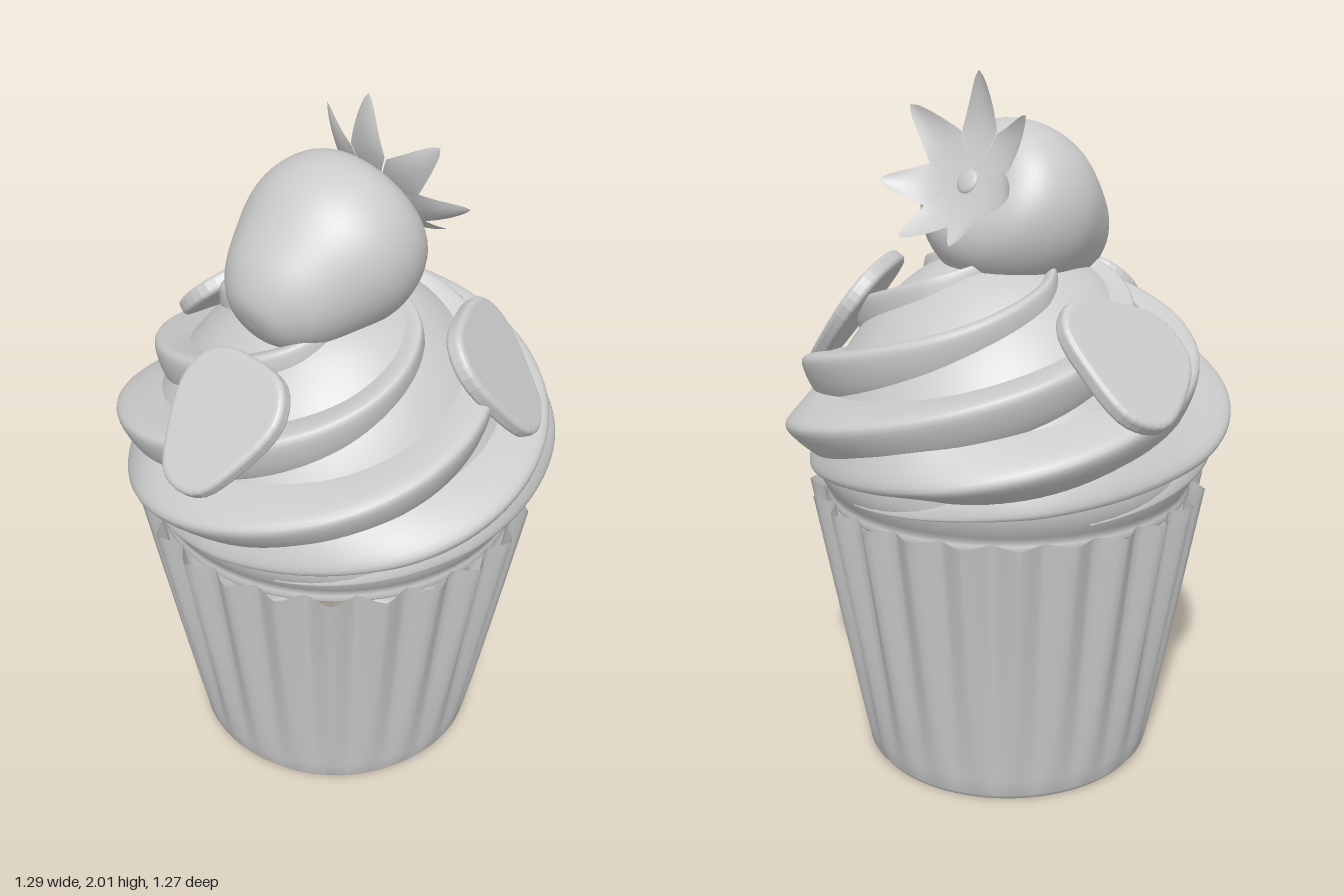
import * as THREE from 'three';
import { mergeVertices } from 'three/addons/utils/BufferGeometryUtils.js';

const material = new THREE.MeshStandardMaterial({ color: 0xcccccc });
const thin = new THREE.MeshStandardMaterial({ color: 0xcccccc, side: THREE.DoubleSide });
const V2 = (list) => list.map(([x, y]) => new THREE.Vector2(x, y));

function part(name, geometry, mat = material) {
  const mesh = new THREE.Mesh(geometry, mat);
  mesh.name = name;
  return mesh;
}

// Smooth surface from a rule (u, v) -> [x, y, z], seams welded
function surface(rule, nu, nv) {
  const g = new THREE.PlaneGeometry(1, 1, nu, nv);
  const p = g.attributes.position, uv = g.attributes.uv;
  for (let i = 0; i < p.count; i++) p.setXYZ(i, ...rule(uv.getX(i), uv.getY(i)));
  g.deleteAttribute('uv');
  g.deleteAttribute('normal');
  const welded = mergeVertices(g, 1e-4);
  welded.computeVertexNormals();
  return welded;
}

// Smooth lathe through a few profile points
function turned(points, segments = 48) {
  const curve = new THREE.SplineCurve(V2(points));
  const profile = curve.getPoints(40);
  profile.forEach((q) => { q.x = Math.max(q.x, 0); });
  return new THREE.LatheGeometry(profile, segments);
}

// Pleated paper cup
function createCup() {
  const cup = new THREE.Group();
  cup.name = 'cup';
  const folds = 24;
  cup.add(part('pleatedWall', surface((u, v) => {
    const a = u * Math.PI * 2;
    const row = Math.max(0, (v * 17 - 1) / 16);
    const y = v === 0 ? 0 : 0.018 + row * 0.817;
    const base = v === 0 ? 0.412 : 0.426 + row * 0.13;
    const pleat = Math.asin(0.95 * Math.cos(folds * a)) / Math.asin(0.95);
    const r = base + 0.023 * Math.pow(row, 0.7) * pleat;
    return [r * Math.sin(a), y, r * Math.cos(a)];
  }, folds * 8, 17), thin));
  const bottom = part('cupBottom', new THREE.CircleGeometry(0.413, 96));
  bottom.rotation.x = Math.PI / 2;
  cup.add(bottom);
  return cup;
}

// Piped frosting: a domed core wrapped by rising, soft-edged strands
function createFrosting() {
  const frosting = new THREE.Group();
  frosting.name = 'frosting';
  frosting.add(part('frostingCore', turned([
    [0, 0.79], [0.48, 0.795], [0.525, 0.84], [0.555, 0.9], [0.56, 0.96], [0.55, 1.04],
    [0.51, 1.14], [0.43, 1.27], [0.33, 1.38], [0.2, 1.47], [0, 1.5],
  ], 64)));

  // Outer edge of a strand as (radius, height)
  const path = new THREE.SplineCurve(V2([
    [0.55, 0.88], [0.6, 0.96], [0.635, 1.06], [0.6, 1.17],
    [0.515, 1.28], [0.4, 1.38], [0.26, 1.47], [0.1, 1.52],
  ]));
  const strands = 5;
  for (let i = 0; i < strands; i++) {
    const start = -0.75 + (i * Math.PI * 2) / strands;
    frosting.add(part('frostingStrand', surface((u, v) => {
      const c = path.getPoint(u), t = path.getTangent(u);
      const size = (0.03 + 0.97 * THREE.MathUtils.smoothstep(u, 0, 0.24)) * (1 - 0.4 * u * u);
      const f = (v * 2 - 1) * Math.PI;
      const out = 0.12 * size * (Math.cos(f) - 1);
      const along = size * (0.1 * Math.sin(f) * (1 - 0.5 * Math.cos(f)) - 0.025 * (1 + Math.cos(f)));
      const r = c.x + t.y * out + t.x * along;
      const y = c.y - t.x * out + t.y * along;
      const a = start + Math.pow(u, 0.9) * Math.PI * 1.8;
      return [r * Math.sin(a), y, r * Math.cos(a)];
    }, 100, 28)));
  }
  return frosting;
}

// Rounded fruit slice, placed by its centre, face normal and tip direction
function createSlice(centre, normal, tip, wide = 1) {
  const outline = new THREE.CatmullRomCurve3([
    [-0.165, 0.08], [-0.12, 0.16], [0, 0.18], [0.12, 0.16], [0.165, 0.08],
    [0.12, -0.07], [0.05, -0.17], [-0.05, -0.17], [-0.12, -0.07],
  ].map(([x, y]) => new THREE.Vector3(x * wide, y, 0)), true);
  const shape = new THREE.Shape(outline.getPoints(40).slice(0, -1).reverse()
    .map((q) => new THREE.Vector2(q.x, q.y)));
  const g = new THREE.ExtrudeGeometry(shape, {
    depth: 0.02, bevelEnabled: true, bevelThickness: 0.015, bevelSize: 0.018, bevelSegments: 4,
  });
  g.translate(0, 0, -0.01);
  const z = new THREE.Vector3(...normal).normalize();
  const x = new THREE.Vector3(...tip).negate().cross(z).normalize();
  const y = new THREE.Vector3().crossVectors(z, x);
  const slice = part('fruitSlice', g);
  slice.quaternion.setFromRotationMatrix(new THREE.Matrix4().makeBasis(x, y, z));
  slice.position.set(...centre);
  return slice;
}

// Whole berry lying back, its tip towards the front
function createBerry() {
  const berry = new THREE.Group();
  berry.name = 'berry';
  const body = part('berryBody', turned([
    [0, -0.015], [0.09, 0.0], [0.165, 0.065], [0.22, 0.17], [0.258, 0.28],
    [0.253, 0.38], [0.21, 0.46], [0.13, 0.5], [0, 0.5],
  ]));
  body.scale.z = 0.92;
  berry.add(body);

  // Star of curling leaves
  const leaves = 7;
  for (let i = 0; i < leaves; i++) {
    const a = (i * Math.PI * 2) / leaves;
    const length = 0.25 + 0.03 * Math.cos(a);
    berry.add(part('berryLeaf', surface((u, v) => {
      const half = v < 0.5 ? 0.126 * v : 0.063 * Math.pow((1 - v) / 0.5, 0.65);
      const side = 1 - 2 * u;
      const across = side * half, r = v * length;
      const y = 0.512 + 0.088 * v ** 3 + 0.02 * side * side * v ** 3 * (1 - v) * 4;
      return [
        r * Math.sin(a) + across * Math.cos(a),
        y,
        r * Math.cos(a) - across * Math.sin(a),
      ];
    }, 8, 20), thin));
  }
  const stem = part('stemBump', new THREE.SphereGeometry(0.035, 20, 12));
  stem.scale.y = 0.3;
  stem.position.y = 0.512;
  berry.add(stem);

  berry.rotation.x = -1.1;
  berry.position.set(0, 1.485, 0.295);
  return berry;
}

export function createModel() {
  const model = new THREE.Group();
  model.name = 'cupcake';
  model.add(createCup(), createFrosting(), createBerry());
  model.add(createSlice([0.07, 1.29, 0.488], [0, 0.7, 0.72], [0, -0.7, 0.7]));
  model.add(createSlice([0.41, 1.305, -0.215], [0.7, 0.59, -0.4], [0.17, -0.27, -0.08]));
  model.add(createSlice([-0.485, 1.29, -0.05], [-0.7, 0.7, 0], [0.04, 0.04, 1], 1.15));
  return model;
}
